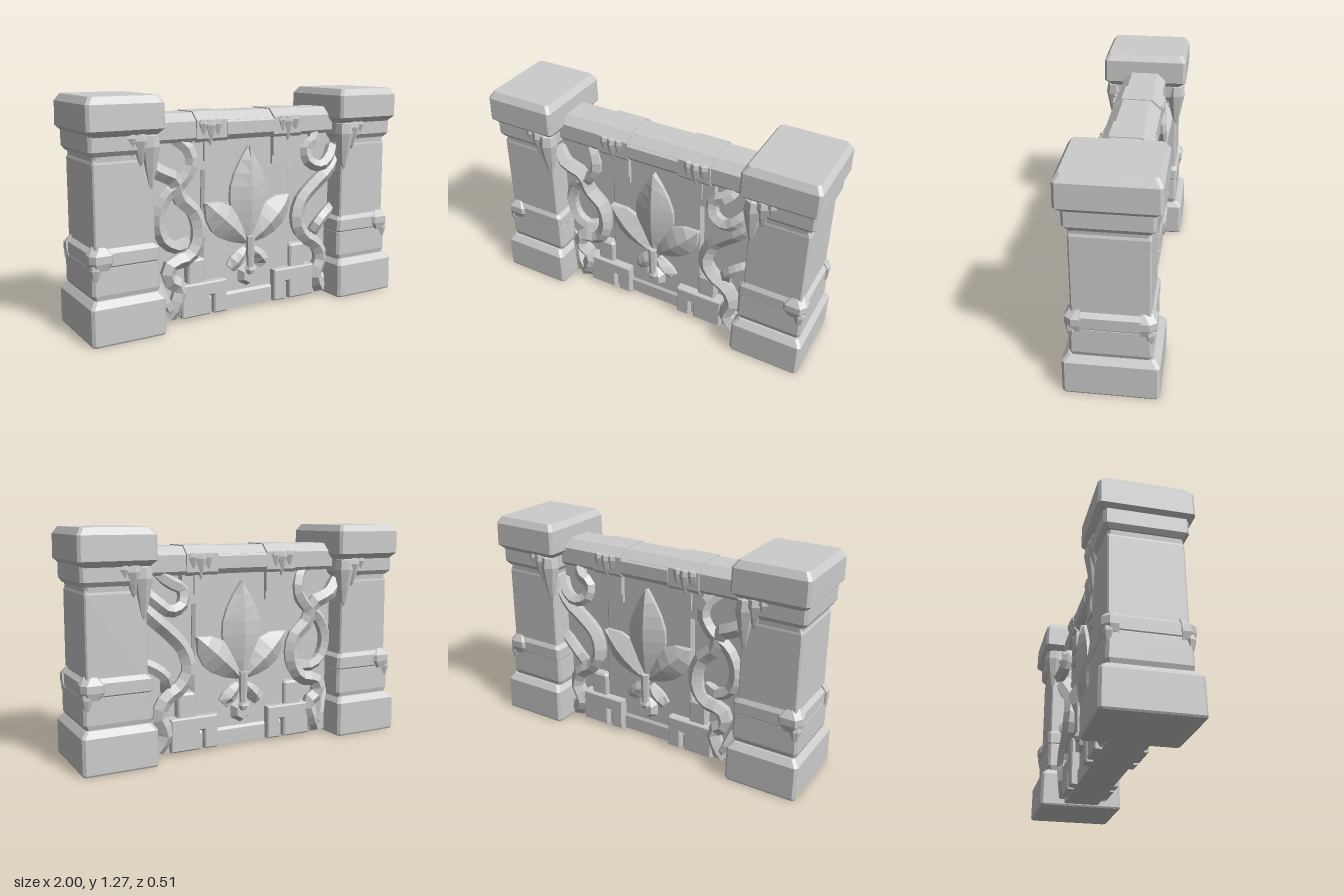
import * as THREE from 'three';
import { ConvexGeometry } from 'three/addons/geometries/ConvexGeometry.js';

const stone = new THREE.MeshStandardMaterial({ color: 0xcccccc, flatShading: true });

function add(parent, name, geometry) {
  const g = geometry.index ? geometry.toNonIndexed() : geometry;
  g.computeVertexNormals();
  const mesh = new THREE.Mesh(g, stone);
  mesh.name = name;
  parent.add(mesh);
}

// Adds a part on the front face and its mirror image on the back face
function addBothFaces(parent, name, geometry) {
  const front = geometry.index ? geometry.toNonIndexed() : geometry;
  const back = front.clone().scale(1, 1, -1);
  const p = back.attributes.position;
  for (let i = 0; i < p.count; i += 3) {
    const a = new THREE.Vector3().fromBufferAttribute(p, i + 1);
    const b = new THREE.Vector3().fromBufferAttribute(p, i + 2);
    p.setXYZ(i + 1, b.x, b.y, b.z);
    p.setXYZ(i + 2, a.x, a.y, a.z);
  }
  add(parent, name + 'Front', front);
  add(parent, name + 'Back', back);
}

// Convex block from levels [y, halfWidth, halfDepth] with clipped corners
function block(cx, levels, clip = 0.015) {
  const pts = [];
  for (const [y, w, d] of levels)
    for (const sx of [-1, 1]) for (const sz of [-1, 1]) {
      pts.push(new THREE.Vector3(cx + sx * w, y, sz * (d - clip)));
      pts.push(new THREE.Vector3(cx + sx * (w - clip), y, sz * d));
    }
  return new ConvexGeometry(pts);
}

// Straight length of beam with sloped top edges
function beam(x0, x1, half, y0, y1) {
  const pts = [];
  for (const x of [x0, x1]) for (const s of [-1, 1])
    for (const [z, y] of [[half - 0.015, y0], [half, y0 + 0.02], [half, y1 - 0.045], [half - 0.05, y1]])
      pts.push(new THREE.Vector3(x, y, s * z));
  return new ConvexGeometry(pts);
}

function box(x0, x1, y0, y1, z) {
  return new THREE.BoxGeometry(x1 - x0, y1 - y0, 2 * z).translate((x0 + x1) / 2, (y0 + y1) / 2, 0);
}

// Bevelled plate cut from an outline, from z0 to z1
function plate(points, z0, z1, bevel) {
  const shape = new THREE.Shape(points.map(([x, y]) => new THREE.Vector2(x, y)));
  return new THREE.ExtrudeGeometry(shape, {
    depth: z1 - z0 - bevel, bevelThickness: bevel, bevelSize: bevel, bevelOffset: -bevel, bevelSegments: 1,
  }).translate(0, 0, z0);
}

// Rounded drop of moss, pointed at the lower end
function drop(x, z, tip, top, radius) {
  const profile = [[0, 0], [0.3, 0.15], [0.65, 0.42], [1, 0.75], [0.85, 0.93], [0, 1]];
  const points = profile.map(([r, t]) => new THREE.Vector2(r * radius, tip + t * (top - tip)));
  return new THREE.LatheGeometry(points, 7).translate(x, 0, z);
}

function vine(points, radius) {
  const curve = new THREE.CatmullRomCurve3(points.map((p) => new THREE.Vector3(...p)));
  return new THREE.TubeGeometry(curve, points.length * 2, radius, 5);
}

// Leaf along +y with a raised midrib; widths run from root to tip
function leaf(length, widths, height) {
  const pos = [], idx = [], n = widths.length;
  widths.forEach((w, i) => {
    const t = i / (n - 1), y = t * length;
    const rise = height * (0.35 + 0.65 * Math.sin(Math.PI * (t * 0.85 + 0.08)));
    pos.push(-w, y, -0.03, -w, y, height * 0.25, 0, y, rise, w, y, height * 0.25, w, y, -0.03);
  });
  for (let i = 0; i < n - 1; i++) for (let j = 0; j < 4; j++) {
    const a = i * 5 + j, b = a + 5;
    idx.push(a, a + 1, b, a + 1, b + 1, b);
  }
  // Close the tip end
  const e = (n - 1) * 5;
  idx.push(e, e + 1, e + 2, e, e + 2, e + 4, e + 2, e + 3, e + 4);
  const g = new THREE.BufferGeometry();
  g.setAttribute('position', new THREE.Float32BufferAttribute(pos, 3));
  g.setIndex(idx);
  return g;
}

function buildPillar(side) {
  const pillar = new THREE.Group();
  pillar.name = side > 0 ? 'leftPillar' : 'rightPillar';
  const c = side * 0.785;
  add(pillar, 'base', block(side * 0.79, [[0, 0.204, 0.248], [0.01, 0.209, 0.253], [0.2, 0.208, 0.25], [0.235, 0.18, 0.22]]));
  add(pillar, 'lowerShaft', block(c, [[0.23, 0.18, 0.205], [0.26, 0.19, 0.212], [0.4, 0.188, 0.21], [0.44, 0.17, 0.2]]));
  add(pillar, 'collar', block(c, [[0.39, 0.178, 0.2], [0.41, 0.19, 0.215], [0.475, 0.19, 0.215], [0.5, 0.165, 0.2]]));
  add(pillar, 'shaft', block(c, [[0.45, 0.168, 0.2], [0.93, 0.165, 0.198], [0.97, 0.15, 0.19]], 0.008));
  add(pillar, 'neck', block(c, [[0.93, 0.158, 0.195], [1.0, 0.165, 0.198]]));
  add(pillar, 'moulding', block(c, [[0.97, 0.172, 0.202], [0.995, 0.188, 0.22], [1.08, 0.188, 0.22]]));
  add(pillar, 'cap', block(side * 0.78, [[1.068, 0.185, 0.22], [1.1, 0.212, 0.253], [1.23, 0.21, 0.25], [1.268, 0.185, 0.225]]));

  // Moss hanging from the cap at the inner corner
  for (const [x, z, tip, radius] of [[0.636, 0.192, 0.765, 0.056], [0.69, 0.195, 0.9, 0.048], [0.74, 0.198, 0.96, 0.036]])
    addBothFaces(pillar, 'capMoss', drop(side * x, z, tip, 1.085, radius));

  // Moss over the outer end of the collar
  const patch = [];
  for (const [y, x0, x1, z] of [[0.39, 0.87, 0.975, 0.218], [0.43, 0.845, 0.985, 0.23], [0.47, 0.845, 0.985, 0.23], [0.51, 0.87, 0.955, 0.2]])
    for (const [x, d] of [[x0, z - 0.03], [x0 + 0.03, z], [x1 - 0.025, z], [x1, z - 0.035], [x1, 0.15], [x0, 0.15]])
      patch.push(new THREE.Vector3(side * x, y, d));
  addBothFaces(pillar, 'collarMoss', new ConvexGeometry(patch));
  addBothFaces(pillar, 'collarMossDrip', drop(side * 0.952, 0.195, 0.29, 0.43, 0.032));
  return pillar;
}

function buildWall() {
  const wall = new THREE.Group();
  wall.name = 'wall';
  add(wall, 'backing', box(-0.63, 0.63, 0.02, 1.05, 0.07));
  add(wall, 'centrePanel', block(0.015, [[0.03, 0.31, 0.095], [1.04, 0.285, 0.095]], 0.015));
  add(wall, 'plinth', block(0.01, [[0.015, 0.59, 0.105], [0.1, 0.59, 0.105], [0.125, 0.59, 0.09]], 0.01));
  add(wall, 'beam', beam(-0.6, 0.6, 0.128, 1.005, 1.16));
  add(wall, 'beamCentre', beam(-0.14, 0.17, 0.14, 1.015, 1.148));
  for (const [x0, x1] of [[-0.33, -0.14], [0.17, 0.36]]) add(wall, 'beamClamp', beam(x0, x1, 0.138, 1.0, 1.165));

  for (const s of [-1, 1]) {
    const X = (a) => s * a + 0.015;
    const span = (a, b) => (s > 0 ? [X(a), X(b)] : [X(b), X(a)]);
    // Stepped brackets below the beam
    add(wall, 'bracket', box(...span(0.16, 0.365), 0.845, 1.03, 0.112));
    add(wall, 'bracketStep', box(...span(0.16, 0.295), 0.895, 1.03, 0.125));
    // Foot blocks with a slot in the lower edge
    const foot = [[0.165, 0.02], [0.245, 0.02], [0.245, 0.13], [0.275, 0.13], [0.275, 0.02], [0.45, 0.02], [0.45, 0.21], [0.165, 0.21]];
    addBothFaces(wall, 'footBlock', plate(foot.map(([x, y]) => [X(x), y]), 0.02, 0.143, 0.007));
    add(wall, 'smallBlock', block(X(0.345), [[0.18, 0.055, 0.12], [0.335, 0.055, 0.12], [0.348, 0.045, 0.11]], 0.01));
    // Moss running over the clamps
    for (const [x, tip, radius] of [[0.215, 1.0, 0.03], [0.258, 0.975, 0.034], [0.305, 1.01, 0.032]])
      addBothFaces(wall, 'clampMoss', drop(X(x), 0.125, tip, 1.13, radius));
  }
  return wall;
}

function buildVines() {
  const vines = new THREE.Group();
  vines.name = 'vines';
  const runs = [
    [0.046, [[-0.64, 0.93, 0.1], [-0.57, 0.86, 0.13], [-0.47, 0.81, 0.12], [-0.43, 0.7, 0.11], [-0.34, 0.61, 0.11], [-0.32, 0.47, 0.12], [-0.38, 0.37, 0.12], [-0.49, 0.34, 0.12], [-0.51, 0.26, 0.12], [-0.44, 0.2, 0.12], [-0.47, 0.1, 0.12], [-0.5, 0.04, 0.1]]],
    [0.038, [[-0.43, 1.02, 0.06], [-0.37, 0.96, 0.11], [-0.36, 0.88, 0.12], [-0.42, 0.79, 0.12], [-0.51, 0.72, 0.11], [-0.56, 0.6, 0.11], [-0.53, 0.48, 0.11], [-0.45, 0.43, 0.11], [-0.37, 0.44, 0.07]]],
    [0.028, [[-0.6, 0.3, 0.05], [-0.55, 0.2, 0.1], [-0.51, 0.1, 0.13], [-0.45, 0.04, 0.1]]],
    [0.046, [[0.64, 0.86, 0.1], [0.55, 0.77, 0.13], [0.47, 0.7, 0.12], [0.38, 0.6, 0.11], [0.35, 0.48, 0.12], [0.4, 0.39, 0.12], [0.49, 0.33, 0.12], [0.53, 0.24, 0.12], [0.49, 0.13, 0.12], [0.54, 0.04, 0.1]]],
    [0.037, [[0.5, 1.02, 0.06], [0.46, 0.97, 0.13], [0.39, 0.93, 0.14], [0.4, 0.85, 0.155], [0.48, 0.82, 0.17], [0.54, 0.86, 0.165], [0.6, 0.92, 0.12]]],
    [0.036, [[0.64, 0.54, 0.08], [0.56, 0.51, 0.12], [0.49, 0.45, 0.13], [0.47, 0.36, 0.08]]],
  ];
  for (const [radius, points] of runs) addBothFaces(vines, 'vine', vine(points, radius));
  return vines;
}

function buildFlower() {
  const flower = new THREE.Group();
  flower.name = 'flower';
  const place = (g, angle, x, y, z) => g.rotateZ(angle).translate(x, y, z);
  // Three large leaves
  addBothFaces(flower, 'middleLeaf', place(leaf(0.53, [0.03, 0.08, 0.108, 0.122, 0.118, 0.092, 0.052, 0.002], 0.06), 0, 0.012, 0.43, 0.1));
  for (const s of [-1, 1]) {
    const x = 0.012 + s * 0.02;
    addBothFaces(flower, 'sideLeaf', place(leaf(0.36, [0.02, 0.062, 0.088, 0.092, 0.066, 0.002], 0.065), -s * 0.82, x, 0.41, 0.1));
    // Drooping petals
    addBothFaces(flower, 'petal', place(leaf(0.145, [0.02, 0.038, 0.044, 0.036], 0.05), -s * 2.4, x, 0.365, 0.1));
  }
  const stem = new THREE.CylinderGeometry(0.028, 0.02, 0.2, 6).translate(0.012, 0.34, 0.135);
  addBothFaces(flower, 'stem', stem);
  // Hexagonal bud
  const bud = new THREE.CylinderGeometry(0.045, 0.075, 0.045, 6).rotateX(Math.PI / 2).translate(0.012, 0.205, 0.113);
  addBothFaces(flower, 'bud', bud);
  const knob = new THREE.SphereGeometry(0.033, 6, 4).translate(0.012, 0.24, 0.13);
  addBothFaces(flower, 'knob', knob);
  return flower;
}

export function createModel() {
  const model = new THREE.Group();
  model.name = 'stoneFence';
  model.add(buildPillar(-1), buildPillar(1), buildWall(), buildVines(), buildFlower());
  return model;
}
